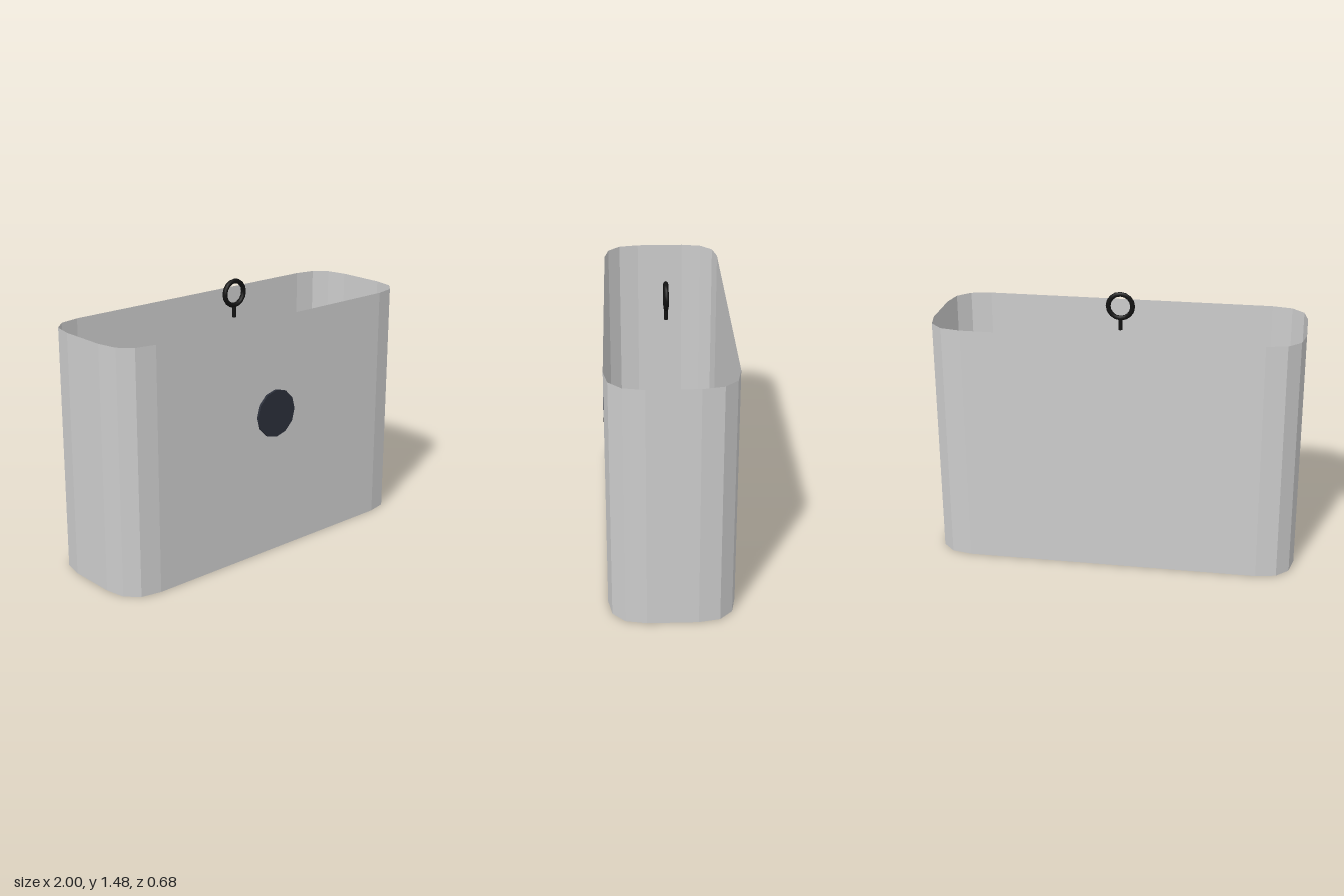
import * as THREE from 'three';

const WIDTH = 2, DEPTH = 0.667, HEIGHT = 1.333, CORNER = 0.2;
const CENTRE_Z = -0.0067; // body axis, so that the front disc is included in the centring

// Rounded rectangle, anticlockwise seen from above
function outline() {
  const w = WIDTH / 2, d = DEPTH / 2, r = CORNER;
  const s = new THREE.Shape();
  s.moveTo(-w + r, -d);
  s.lineTo(w - r, -d);
  s.quadraticCurveTo(w, -d, w, -d + r);
  s.lineTo(w, d - r);
  s.quadraticCurveTo(w, d, w - r, d);
  s.lineTo(-w + r, d);
  s.quadraticCurveTo(-w, d, -w, d - r);
  s.lineTo(-w, -d + r);
  s.quadraticCurveTo(-w, -d, -w + r, -d);
  return s.getPoints(3);
}

// Thin wall following the outline, open at the top and the bottom
function wallGeometry() {
  const points = outline();
  const positions = [];
  for (let i = 0; i < points.length - 1; i++) {
    const a = points[i], b = points[i + 1];
    const corner = (p, y) => [p.x, y, -p.y];
    positions.push(
      ...corner(a, 0), ...corner(b, 0), ...corner(b, HEIGHT),
      ...corner(a, 0), ...corner(b, HEIGHT), ...corner(a, HEIGHT)
    );
  }
  const g = new THREE.BufferGeometry();
  g.setAttribute('position', new THREE.Float32BufferAttribute(positions, 3));
  g.computeVertexNormals();
  return g;
}

export function createModel() {
  const group = new THREE.Group();
  const grey = new THREE.MeshStandardMaterial({ color: 0xcccccc, flatShading: true, side: THREE.DoubleSide });
  const slate = new THREE.MeshStandardMaterial({ color: 0x2b2f3a });
  const black = new THREE.MeshStandardMaterial({ color: 0x111111 });

  const add = (name, geometry, material, x, y, z) => {
    const mesh = new THREE.Mesh(geometry, material);
    mesh.name = name;
    mesh.position.set(x, y, z);
    group.add(mesh);
    return mesh;
  };

  // Body shell
  add('bodyWall', wallGeometry(), grey, 0, 0, CENTRE_Z);

  // Flat disc on the front face
  const disc = new THREE.CylinderGeometry(0.133, 0.133, 0.0133, 12);
  add('frontDisc', disc.rotateX(Math.PI / 2), slate, 0, 0.8, 0.3335);

  // Hanging ring and its short stem
  add('hangingRing', new THREE.TorusGeometry(0.0667, 0.0133, 8, 16), black, 0, 1.4, CENTRE_Z);
  add('ringStem', new THREE.CylinderGeometry(0.0107, 0.0107, 0.0667, 8), black, 0, 1.3, CENTRE_Z);

  return group;
}
